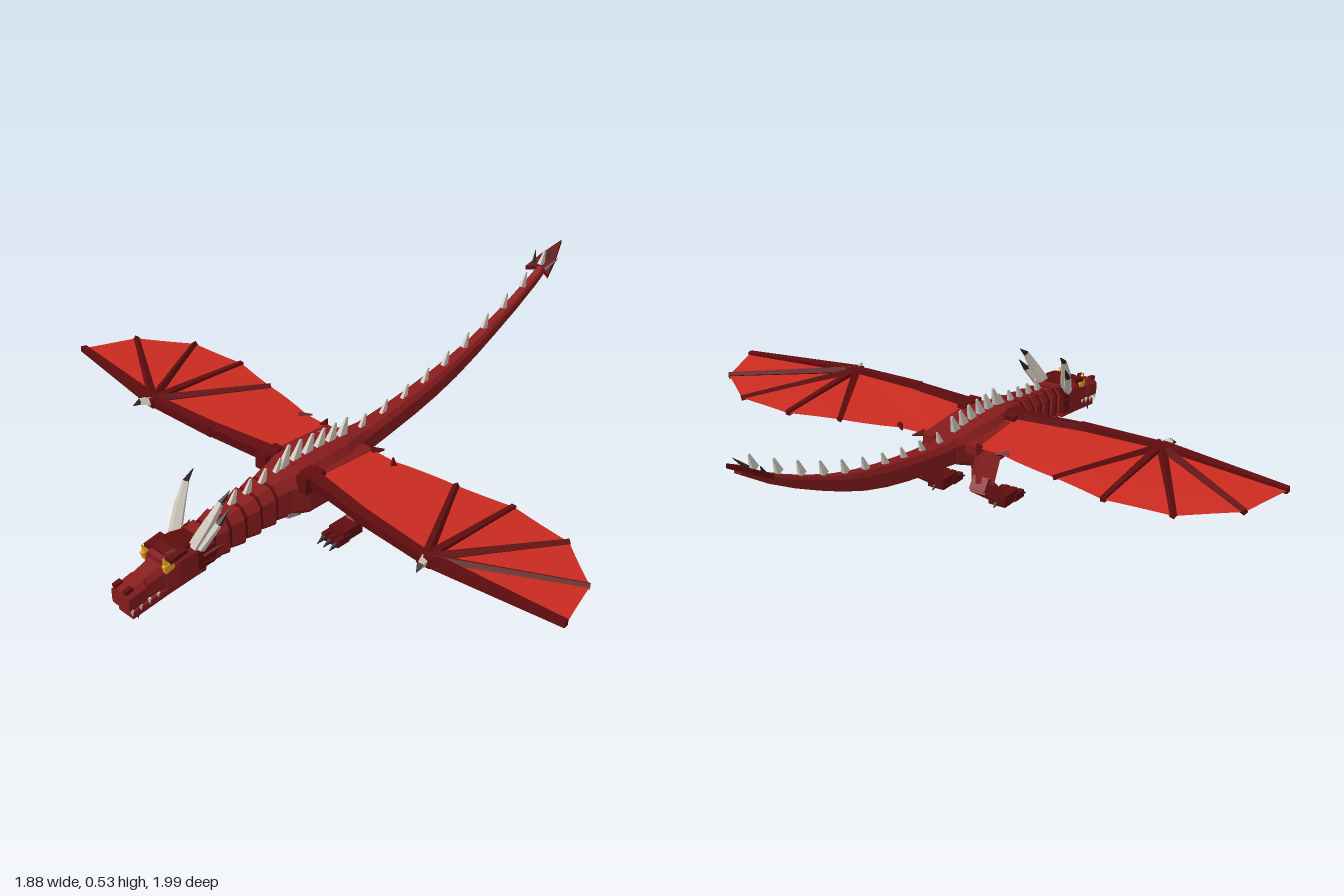
import * as THREE from 'three';

const paint = (name, color, side = THREE.FrontSide) => {
  const m = new THREE.MeshStandardMaterial({ color, side, flatShading: true });
  m.name = name;
  return m;
};

export function createModel() {
  const scales = paint('red scales', 0x861b1c);
  const dark = paint('dark maroon', 0x600c0e);
  const skin = paint('wing membrane', 0xcb2b20, THREE.DoubleSide);
  const belly = paint('grey belly', 0x968b85);
  const bone = paint('pale bone', 0xd0c7bd);
  const claw = paint('dark claw', 0x2e2526);
  const amber = paint('amber eye', 0xe0a81c);

  const model = new THREE.Group();
  model.name = 'dragon';
  const V = (x, y, z) => new THREE.Vector3(x, y, z);
  const add = (parent, name, geo, mat) => {
    const mesh = new THREE.Mesh(geo, mat);
    mesh.name = name;
    parent.add(mesh);
    return mesh;
  };

  // Bevelled box sections [x, top, bottom, halfWidth] joined along x; the underside is its own group
  function loft(parent, name, rings, top = scales, under = belly) {
    const sections = rings.map(([x, t, b, w]) => {
      const h = t - b;
      const half = [[0.65 * w, t], [w, t - 0.25 * h], [w, b + 0.1 * h], [0.92 * w, b]];
      const all = [...half, ...half.slice().reverse().map(([z, y]) => [-z, y])];
      return all.map(([z, y]) => [x, y, z]);
    });
    const upper = [], lower = [];
    for (let i = 0; i < sections.length - 1; i++) {
      for (let k = 0; k < 8; k++) {
        const n = (k + 1) % 8, p = sections[i], q = sections[i + 1];
        (k === 3 ? lower : upper).push(...p[k], ...p[n], ...q[n], ...p[k], ...q[n], ...q[k]);
      }
    }
    const first = sections[0], last = sections[sections.length - 1];
    for (let k = 1; k < 7; k++) {
      upper.push(...last[0], ...last[k], ...last[k + 1], ...first[0], ...first[k + 1], ...first[k]);
    }
    const geo = new THREE.BufferGeometry();
    geo.setAttribute('position', new THREE.Float32BufferAttribute([...upper, ...lower], 3));
    geo.addGroup(0, upper.length / 3, 0);
    geo.addGroup(upper.length / 3, lower.length / 3, 1);
    geo.computeVertexNormals();
    return add(parent, name, geo, [top, under]);
  }

  // Straight tapered limb between two points
  function limb(parent, name, a, b, r0, r1, mat, sides = 4) {
    const geo = new THREE.CylinderGeometry(r1, r0, a.distanceTo(b), sides);
    geo.rotateY(Math.PI / sides);
    const mesh = add(parent, name, geo, mat);
    mesh.position.copy(a).lerp(b, 0.5);
    mesh.quaternion.setFromUnitVectors(V(0, 1, 0), b.clone().sub(a).normalize());
    return mesh;
  }

  function block(parent, name, x, y, z, w, h, d, mat, tilt = 0) {
    const mesh = add(parent, name, new THREE.BoxGeometry(w, h, d), mat);
    mesh.position.set(x, y, z);
    mesh.rotation.z = tilt;
    return mesh;
  }

  // Torso and belly plates
  loft(model, 'torso', [[-0.39, 0.25, 0.14, 0.06], [-0.31, 0.265, 0.127, 0.088], [-0.2, 0.265, 0.127, 0.09],
    [-0.12, 0.26, 0.142, 0.078], [-0.04, 0.25, 0.17, 0.045]]);
  for (let i = 0; i < 5; i++) {
    const x = -0.38 + i * 0.047, b = 0.114 + 0.005 * Math.abs(i - 2);
    loft(model, 'bellyPlate', [[x, 0.15, b + 0.006, 0.066], [x + 0.045, 0.15, b, 0.072]], belly);
  }

  // Tail, its curve set by a few sections
  loft(model, 'tail', [[-0.08, 0.25, 0.168, 0.046], [0, 0.246, 0.177, 0.038], [0.1, 0.256, 0.19, 0.034],
    [0.2, 0.27, 0.205, 0.031], [0.3, 0.287, 0.225, 0.028], [0.4, 0.308, 0.252, 0.025], [0.5, 0.335, 0.288, 0.022],
    [0.6, 0.37, 0.33, 0.019], [0.7, 0.41, 0.376, 0.017], [0.8, 0.457, 0.428, 0.015], [0.9, 0.513, 0.49, 0.012]]);

  // Barbed tail spade
  const spade = new THREE.Shape();
  [[0.835, 0], [0.815, 0.046], [0.87, 0.03], [0.94, 0], [0.87, -0.03], [0.815, -0.046]]
    .forEach(([x, z], i) => (i ? spade.lineTo(x, z) : spade.moveTo(x, z)));
  const spadeGeo = new THREE.ExtrudeGeometry(spade, { depth: 0.014, bevelEnabled: false });
  spadeGeo.rotateX(Math.PI / 2);
  const sp = spadeGeo.attributes.position;
  for (let i = 0; i < sp.count; i++) sp.setY(i, sp.getY(i) + 0.466 + (sp.getX(i) - 0.81) * 0.53);
  spadeGeo.computeVertexNormals();
  add(model, 'tailSpade', spadeGeo, dark);
  limb(model, 'tailPoint', V(0.87, 0.49, 0), V(0.94, 0.53, 0), 0.012, 0.001, claw);

  // Stepped neck segments over a darker core
  const neckAt = (x) => {
    const t = (x + 0.7) / 0.32;
    return [x, 0.21 + 0.04 * t, 0.118 + 0.022 * t, 0.04 + 0.02 * t];
  };
  loft(model, 'neckCore', [neckAt(-0.72), neckAt(-0.36)], dark);
  for (let i = 0; i < 6; i++) {
    const x = -0.69 + i * 0.056;
    const [, t, b, w] = neckAt(x), [, t2, b2, w2] = neckAt(x + 0.041);
    loft(model, 'neckSegment', [[x, t + 0.001, b - 0.001, w + 0.001], [x + 0.041, t2 + 0.006, b2 - 0.005, w2 + 0.008]]);
  }

  // Back spines: neck, torso, tail, blade-like and leaning back
  const spine = (x, y, h, r) => {
    const s = limb(model, 'spine', V(x, y - 0.008, 0), V(x + h * 0.5, y + h, 0), r, r * 0.25, bone);
    s.scale.z = 0.55;
  };
  for (let i = 0; i < 5; i++) spine(-0.595 + i * 0.058, 0.223 + i * 0.007, 0.042, 0.02);
  for (let i = 0; i < 6; i++) spine(-0.335 + i * 0.048, 0.264 - i * 0.001, 0.058 - i * 0.002, 0.024);
  const tailTop = (x) => 0.246 + 0.06 * x + 0.27 * x * x;
  for (let i = 0; i < 10; i++) spine(-0.01 + i * 0.094, tailTop(i * 0.094), 0.038, 0.017);

  // Head: skull, snout and lower jaw
  const head = new THREE.Group();
  head.name = 'head';
  model.add(head);
  loft(head, 'skull', [[-0.815, 0.205, 0.105, 0.045], [-0.77, 0.218, 0.105, 0.054], [-0.68, 0.216, 0.105, 0.052]]);
  loft(head, 'crown', [[-0.8, 0.216, 0.2, 0.036], [-0.77, 0.223, 0.2, 0.042], [-0.69, 0.221, 0.2, 0.042]], dark, dark);
  loft(head, 'snout', [[-0.94, 0.158, 0.1, 0.037], [-0.88, 0.17, 0.108, 0.04], [-0.87, 0.172, 0.11, 0.034],
    [-0.79, 0.193, 0.115, 0.044]], scales, dark);
  loft(head, 'lowerJaw', [[-0.925, 0.098, 0.066, 0.032], [-0.8, 0.118, 0.085, 0.038], [-0.69, 0.13, 0.1, 0.045]]);
  loft(head, 'cheekFrill', [[-0.71, 0.205, 0.12, 0.056], [-0.655, 0.215, 0.13, 0.064]], dark);

  // Builds a group on one side and mirrors it for the other
  const side = (build, name) => [1, -1].forEach((s) => {
    const g = new THREE.Group();
    g.name = name;
    g.scale.z = s;
    model.add(g);
    build(g);
  });
  side((g) => {
    block(g, 'eye', -0.806, 0.188, 0.046, 0.032, 0.024, 0.014, amber, 0.25);
    block(g, 'brow', -0.775, 0.21, 0.046, 0.06, 0.014, 0.022, dark, 0.15);
    limb(g, 'browSpike', V(-0.812, 0.198, 0.044), V(-0.82, 0.222, 0.046), 0.01, 0.002, amber);
    block(g, 'nostril', -0.928, 0.163, 0.022, 0.026, 0.012, 0.014, dark, 0.15);
    for (let i = 0; i < 4; i++) {
      const x = -0.93 + i * 0.03;
      limb(g, 'tooth', V(x, 0.105 + i * 0.003, 0.035), V(x, 0.083 + i * 0.004, 0.035), 0.006, 0.001, bone);
    }
    // Two tall horns with dark tips and short dark cheek spikes
    limb(g, 'hornBase', V(-0.71, 0.2, 0.04), V(-0.665, 0.275, 0.062), 0.021, 0.017, bone, 5);
    limb(g, 'hornMiddle', V(-0.667, 0.271, 0.061), V(-0.632, 0.326, 0.072), 0.017, 0.01, bone, 5);
    limb(g, 'hornTip', V(-0.634, 0.323, 0.072), V(-0.6, 0.35, 0.076), 0.01, 0.001, claw, 5);
    limb(g, 'outerHorn', V(-0.7, 0.195, 0.052), V(-0.65, 0.265, 0.08), 0.016, 0.011, bone, 5);
    limb(g, 'outerHornTip', V(-0.652, 0.262, 0.079), V(-0.615, 0.305, 0.088), 0.011, 0.001, claw, 5);
    limb(g, 'cheekSpike', V(-0.69, 0.165, 0.054), V(-0.625, 0.185, 0.078), 0.014, 0.001, dark);
    limb(g, 'jawSpike', V(-0.69, 0.14, 0.05), V(-0.64, 0.145, 0.07), 0.012, 0.001, dark);
    limb(g, 'chinSpike', V(-0.9, 0.075, 0.022), V(-0.905, 0.055, 0.024), 0.007, 0.001, claw);
  }, 'headSide');
  side((g) => limb(g, 'barb', V(0.83, 0.473, 0.025), V(0.865, 0.51, 0.046), 0.008, 0.001, claw), 'tailBarb');

  // Hind legs
  side((g) => {
    limb(g, 'thigh', V(-0.15, 0.205, 0.08), V(-0.07, 0.105, 0.115), 0.058, 0.038, scales);
    limb(g, 'shin', V(-0.055, 0.115, 0.115), V(-0.165, 0.03, 0.115), 0.038, 0.026, scales);
    block(g, 'knee', -0.066, 0.11, 0.115, 0.045, 0.045, 0.055, scales, 0.6);
    block(g, 'foot', -0.195, 0.022, 0.115, 0.08, 0.036, 0.06, dark);
    for (const z of [0.09, 0.115, 0.14]) {
      block(g, 'toe', -0.238, 0.015, z, 0.05, 0.024, 0.018, dark);
      limb(g, 'toeClaw', V(-0.257, 0.015, z), V(-0.29, 0.004, z), 0.01, 0.001, claw);
    }
    limb(g, 'heelClaw', V(-0.16, 0.02, 0.115), V(-0.135, 0.004, 0.115), 0.01, 0.001, claw);
  }, 'hindLeg');

  // Wings: arm, five fingers and a membrane between them
  const wingY = (x, z) => 0.236 - 0.07 * (x + 0.2) + 0.006 * Math.cos(z * 3.2);
  const W = (x, z, lift = 0) => V(x, wingY(x, z) + lift, z);
  const wrist = [-0.35, 0.57];
  const tips = [[-0.295, 0.995], [-0.12, 0.94], [0, 0.78], [0.02, 0.57], [-0.02, 0.39]];
  side((g) => {
    const outline = [...tips, [-0.06, 0.19], [-0.06, 0.06]];
    const shape = new THREE.Shape();
    shape.moveTo(-0.3, 0.06);
    shape.lineTo(-0.335, 0.32);
    shape.lineTo(...wrist);
    shape.lineTo(...outline[0]);
    for (let i = 1; i < outline.length; i++) {
      const [ax, az] = outline[i - 1], [bx, bz] = outline[i];
      shape.quadraticCurveTo((ax + bx) / 2 + (i === 5 ? 0.008 : -0.004), (az + bz) / 2, bx, bz);
    }
    const geo = new THREE.ShapeGeometry(shape, 4);
    geo.rotateX(Math.PI / 2);
    const p = geo.attributes.position;
    for (let i = 0; i < p.count; i++) p.setY(i, wingY(p.getX(i), p.getZ(i)));
    geo.computeVertexNormals();
    add(g, 'wingMembrane', geo, skin);
    limb(g, 'upperArm', W(-0.3, 0.06), W(-0.335, 0.32), 0.028, 0.023, dark);
    limb(g, 'forearm', W(-0.335, 0.3), W(...wrist), 0.024, 0.02, dark);
    limb(g, 'elbowSpur', W(-0.33, 0.28), W(-0.352, 0.33), 0.014, 0.004, dark);
    limb(g, 'wristJoint', W(-0.352, 0.55), W(-0.352, 0.595), 0.022, 0.02, dark);
    limb(g, 'wristClaw', W(-0.36, 0.572), W(-0.39, 0.583, 0.004), 0.018, 0.012, bone);
    limb(g, 'wristClawTip', W(-0.388, 0.582, 0.004), W(-0.412, 0.59, -0.006), 0.012, 0.001, claw);
    tips.forEach(([x, z], i) => {
      limb(g, 'finger', W(...wrist), W(x, z), i ? 0.017 : 0.022, i ? 0.011 : 0.013, dark);
    });
    block(g, 'shoulder', -0.305, 0.238, 0.085, 0.08, 0.05, 0.04, dark, -0.06);
    block(g, 'wingRoot', -0.16, 0.225, 0.078, 0.2, 0.03, 0.04, scales, -0.06);
    limb(g, 'rearSpur', W(-0.07, 0.1), W(-0.035, 0.12), 0.014, 0.003, dark);
    limb(g, 'membraneSpur', W(-0.08, 0.2), W(-0.05, 0.17), 0.01, 0.003, dark);
  }, 'wing');

  return model;
}
